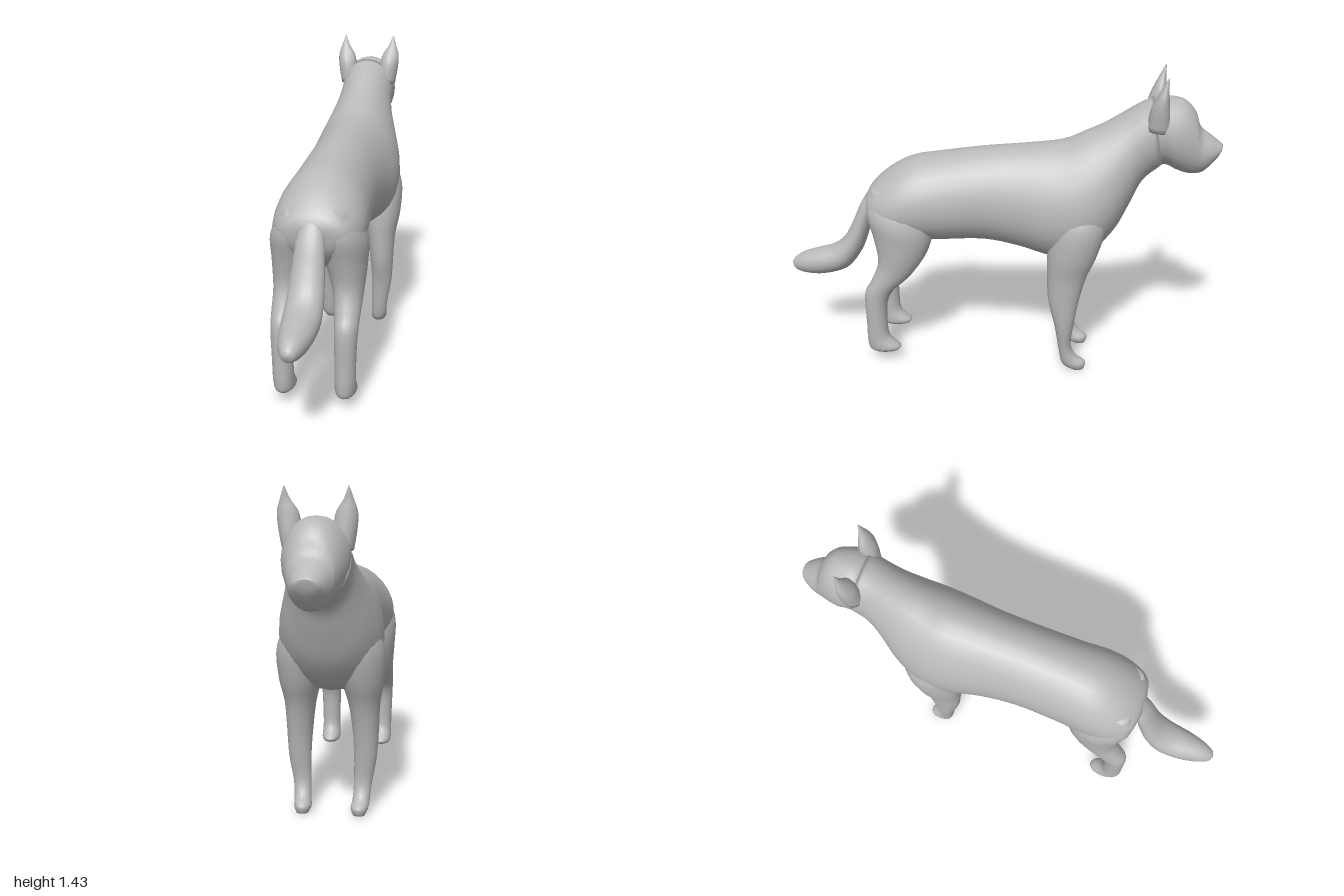
import * as THREE from 'three';

const coat = new THREE.MeshStandardMaterial({ color: 0xb8b8b8 });
coat.name = 'grey coat';

// Smooth closed skin through oval sections in the yz plane.
// Section: [edgeA z, y, edgeB z, y, half width, centre x, egg (wider towards edge B)]
function loft(name, sections, { side = 1, sides = 20, steps = 4 } = {}) {
  const curve = (f) => new THREE.CatmullRomCurve3(
    sections.map((s) => new THREE.Vector3(...f(s))), false, 'catmullrom', 0.5);
  const edgeA = curve((s) => [0, s[1], s[0]]);
  const edgeB = curve((s) => [0, s[3], s[2]]);
  const shape = curve((s) => [s[4], (s[5] || 0) * side, s[6] || 0]);
  const rings = (sections.length - 1) * steps;
  const pos = [];
  const idx = [];
  const centres = [];
  for (let i = 0; i <= rings; i++) {
    const t = i / rings;
    const a = edgeA.getPoint(t);
    const b = edgeB.getPoint(t);
    const q = shape.getPoint(t);
    const mid = a.clone().add(b).multiplyScalar(0.5);
    const half = a.clone().sub(b).multiplyScalar(0.5);
    centres.push([q.y, mid.y, mid.z]);
    for (let j = 0; j < sides; j++) {
      const th = (j / sides) * Math.PI * 2;
      const c = Math.cos(th);
      pos.push(q.y + Math.sin(th) * q.x * (1 - q.z * c), mid.y + half.y * c, mid.z + half.z * c);
    }
  }
  const start = pos.length / 3;
  pos.push(...centres[0], ...centres[rings]);
  for (let j = 0; j < sides; j++) {
    const k = (j + 1) % sides;
    for (let i = 0; i < rings; i++) {
      const p = i * sides;
      const n = p + sides;
      idx.push(p + j, p + k, n + j, p + k, n + k, n + j);
    }
    idx.push(start, k, j, start + 1, rings * sides + j, rings * sides + k);
  }
  const geo = new THREE.BufferGeometry();
  geo.setAttribute('position', new THREE.Float32BufferAttribute(pos, 3));
  geo.setIndex(idx);
  geo.computeVertexNormals();
  const mesh = new THREE.Mesh(geo, coat);
  mesh.name = name;
  return mesh;
}

// Rump, back, chest and neck, running forward to the skull
const TRUNK = [
  [0.605, 0.82, 0.6, 0.77, 0.05, 0, 0],
  [0.58, 0.87, 0.575, 0.69, 0.14, 0, 0],
  [0.5, 0.945, 0.49, 0.61, 0.19, 0, 0.08],
  [0.39, 1.005, 0.37, 0.61, 0.2, 0, 0.1],
  [0.24, 1.035, 0.24, 0.615, 0.19, 0, 0.1],
  [0.05, 1.065, 0.05, 0.625, 0.185, 0, 0.1],
  [-0.13, 1.085, -0.11, 0.6, 0.195, 0, 0.12],
  [-0.3, 1.11, -0.27, 0.56, 0.218, 0, 0.16],
  [-0.4, 1.155, -0.42, 0.57, 0.215, 0, 0.18],
  [-0.48, 1.195, -0.54, 0.69, 0.185, 0, 0.15],
  [-0.56, 1.245, -0.61, 0.83, 0.15, 0, 0.08],
  [-0.63, 1.29, -0.66, 0.94, 0.132, 0, 0],
  [-0.69, 1.32, -0.74, 1.015, 0.13, 0, -0.05],
];

// Skull, brow and muzzle
const HEAD = [
  [-0.66, 1.29, -0.68, 0.99, 0.12],
  [-0.71, 1.322, -0.75, 1.02, 0.132, 0, -0.06],
  [-0.77, 1.325, -0.8, 1.0, 0.13],
  [-0.83, 1.31, -0.84, 0.985, 0.116],
  [-0.875, 1.26, -0.88, 0.98, 0.098],
  [-0.9, 1.195, -0.92, 0.99, 0.085],
  [-0.95, 1.155, -0.95, 1.02, 0.07],
  [-0.99, 1.125, -0.977, 1.055, 0.048],
  [-1.0, 1.115, -0.99, 1.08, 0.03],
];

const EAR = [
  [-0.66, 1.2, -0.76, 1.19, 0.045, 0.095],
  [-0.67, 1.29, -0.755, 1.27, 0.047, 0.107],
  [-0.69, 1.34, -0.748, 1.34, 0.042, 0.114],
  [-0.715, 1.39, -0.743, 1.385, 0.02, 0.122],
  [-0.738, 1.437, -0.742, 1.435, 0.002, 0.124],
];

const FORELEG = [
  [-0.51, 0.9, -0.3, 0.92, 0.06, 0.1],
  [-0.51, 0.75, -0.27, 0.77, 0.105, 0.125],
  [-0.475, 0.61, -0.25, 0.62, 0.095, 0.135],
  [-0.43, 0.5, -0.25, 0.5, 0.07, 0.14],
  [-0.4, 0.38, -0.26, 0.37, 0.058, 0.145],
  [-0.38, 0.25, -0.29, 0.25, 0.05, 0.145],
  [-0.37, 0.14, -0.31, 0.13, 0.04, 0.135],
  [-0.395, 0.08, -0.325, 0.05, 0.038, 0.13],
  [-0.44, 0.045, -0.345, 0.02, 0.038, 0.125],
  [-0.435, 0.01, -0.38, 0.005, 0.026, 0.125],
];

const HINDLEG = [
  [0.28, 0.86, 0.56, 0.88, 0.05, 0.1],
  [0.28, 0.7, 0.59, 0.77, 0.1, 0.107],
  [0.31, 0.58, 0.56, 0.65, 0.088, 0.118],
  [0.39, 0.46, 0.54, 0.53, 0.066, 0.13],
  [0.47, 0.385, 0.575, 0.43, 0.055, 0.137],
  [0.505, 0.31, 0.61, 0.36, 0.05, 0.138],
  [0.51, 0.2, 0.61, 0.2, 0.046, 0.137],
  [0.5, 0.13, 0.61, 0.115, 0.046, 0.136],
  [0.45, 0.08, 0.605, 0.07, 0.047, 0.135],
  [0.46, 0.06, 0.59, 0.055, 0.036, 0.135],
];

const TAIL = [
  [0.54, 0.82, 0.59, 0.85, 0.05],
  [0.58, 0.72, 0.645, 0.76, 0.062],
  [0.61, 0.62, 0.685, 0.67, 0.07],
  [0.65, 0.52, 0.73, 0.59, 0.077],
  [0.72, 0.43, 0.79, 0.54, 0.08],
  [0.83, 0.39, 0.87, 0.515, 0.072],
  [0.92, 0.385, 0.945, 0.49, 0.053],
  [0.98, 0.4, 0.988, 0.46, 0.03],
  [0.998, 0.425, 1.0, 0.44, 0.008],
];

export function createModel() {
  const animal = new THREE.Group();
  animal.name = 'dog';
  animal.add(
    loft('trunkAndNeck', TRUNK, { sides: 28 }),
    loft('head', HEAD, { sides: 24 }),
    loft('tail', TAIL),
  );
  // Paired parts; the animal looks towards -z
  for (const side of [1, -1]) {
    const label = side > 0 ? 'PlusX' : 'MinusX';
    animal.add(
      loft('ear' + label, EAR, { side, sides: 12 }),
      loft('foreleg' + label, FORELEG, { side }),
      loft('hindLeg' + label, HINDLEG, { side }),
    );
  }
  return animal;
}
